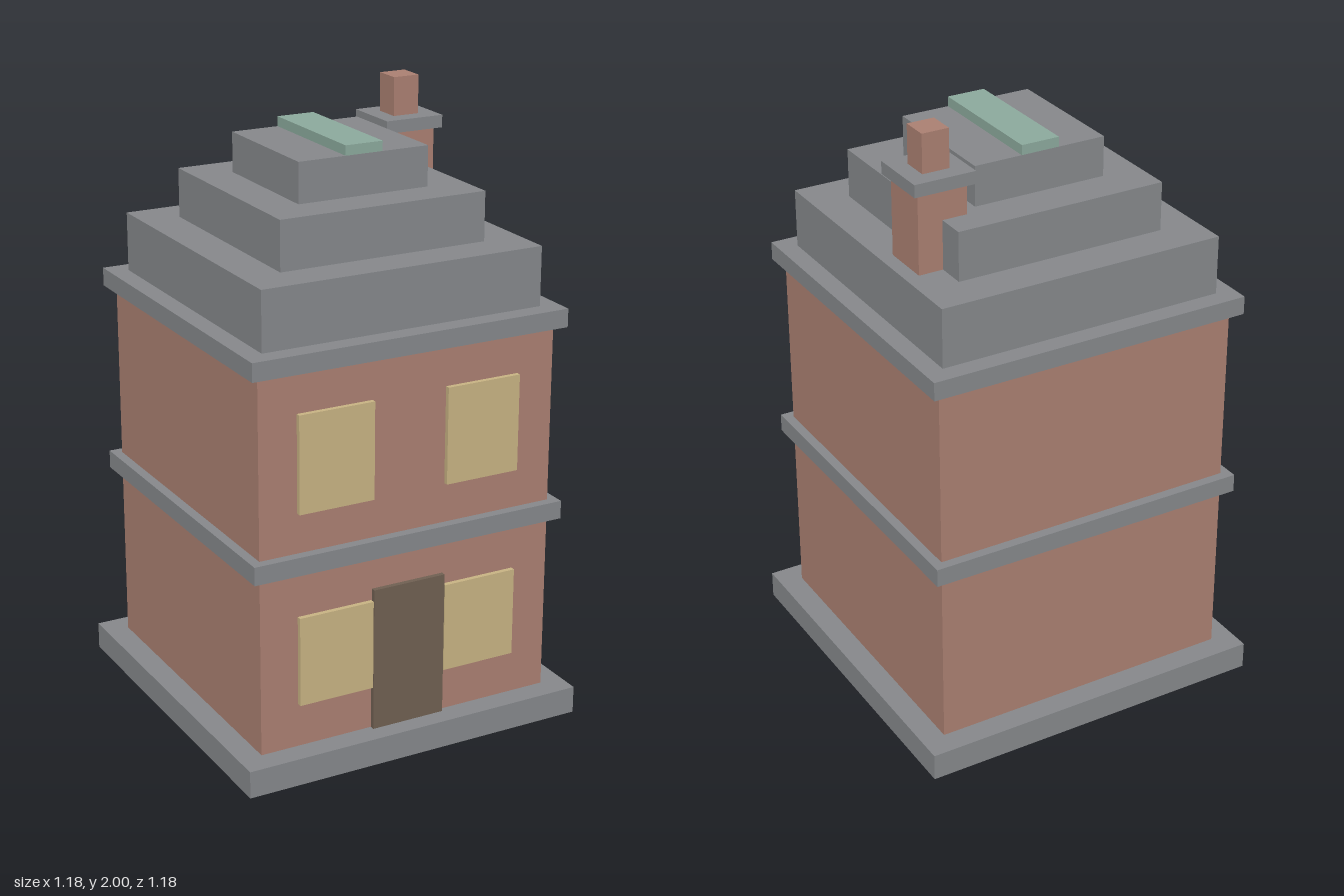
import * as THREE from 'three';

export function createModel() {
  const house = new THREE.Group();
  house.name = 'house';

  const material = (name, color) => {
    const m = new THREE.MeshStandardMaterial({ color });
    m.name = name;
    return m;
  };
  const brick = material('brick', 0xab8072);
  const stone = material('grey stone', 0x86888b);
  const glass = material('lit window', 0xc8b383);
  const wood = material('dark wood', 0x706052);
  const copper = material('green copper', 0x8caa9d);

  // Box given by its width, depth, bottom and top heights, and centre
  const block = (name, mat, width, depth, bottom, top, x = 0, z = 0, parent = house) => {
    const mesh = new THREE.Mesh(new THREE.BoxGeometry(width, top - bottom, depth), mat);
    mesh.name = name;
    mesh.position.set(x, (bottom + top) / 2, z);
    parent.add(mesh);
    return mesh;
  };

  // Plinth, two storeys and their ledges
  block('plinth', stone, 1.18, 1.18, 0, 0.09);
  block('lowerStorey', brick, 1.024, 1.024, 0.09, 0.68);
  block('middleLedge', stone, 1.088, 1.088, 0.68, 0.74);
  block('upperStorey', brick, 1.024, 1.024, 0.74, 1.32);
  block('eaves', stone, 1.088, 1.088, 1.32, 1.38);

  // Stepped roof
  const tiers = [
    [0.962, 1.38, 1.573],
    [0.706, 1.573, 1.733],
    [0.448, 1.733, 1.863],
  ];
  tiers.forEach(([size, bottom, top], i) => block(`roofTier${i + 1}`, stone, size, size, bottom, top));
  block('roofRidge', copper, 0.128, 0.448, 1.863, 1.895);

  // Door and windows on the front wall
  const frontZ = 0.52;
  block('door', wood, 0.252, 0.016, 0.09, 0.568, 0, frontZ);
  for (const [side, name] of [[1, 'left'], [-1, 'right']]) {
    block(`${name}LowerWindow`, glass, 0.256, 0.016, 0.235, 0.53, side * 0.256, frontZ);
    block(`${name}UpperWindow`, glass, 0.256, 0.016, 0.87, 1.187, side * 0.256, frontZ);
  }

  // Chimney
  const chimney = new THREE.Group();
  chimney.name = 'chimney';
  chimney.position.set(0.352, 0, -0.176);
  house.add(chimney);
  block('chimneyStack', brick, 0.164, 0.164, 1.573, 1.833, 0, 0, chimney);
  block('chimneyCap', stone, 0.204, 0.204, 1.833, 1.874, 0, 0, chimney);
  block('chimneyPot', brick, 0.09, 0.09, 1.874, 2, 0, 0, chimney);

  return house;
}
